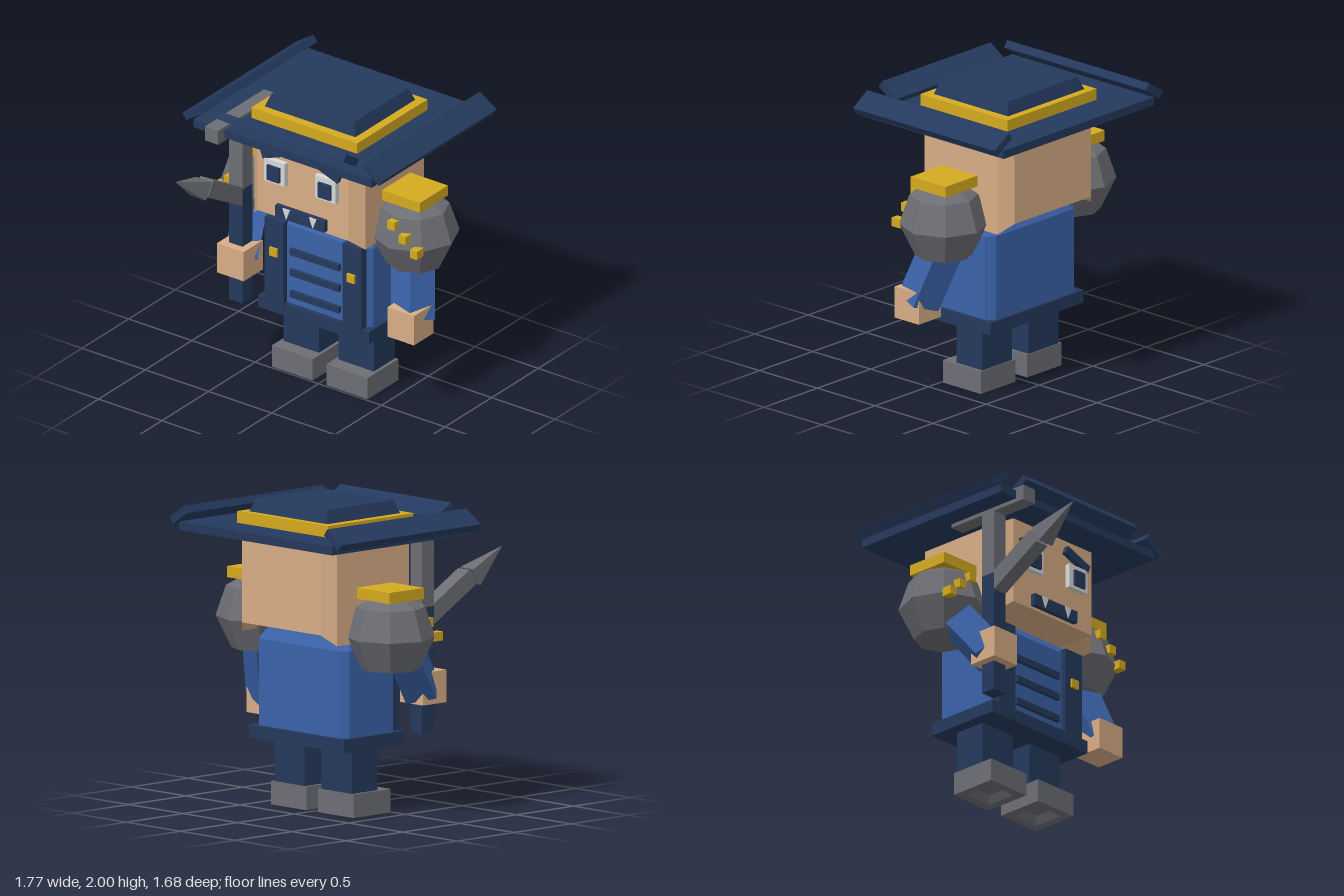
import * as THREE from 'three';

const mat = (name, color) => Object.assign(new THREE.MeshStandardMaterial({ color, flatShading: true }), { name });

// Surface through rings of points (counter-clockwise seen from the end), capped at both ends
function loft(rings) {
  const pos = [];
  const tri = (...pts) => pts.forEach(p => pos.push(...p));
  const n = rings[0].length;
  for (let k = 0; k < rings.length - 1; k++) {
    const r = rings[k], s = rings[k + 1];
    for (let i = 0; i < n; i++) {
      const j = (i + 1) % n;
      tri(r[i], r[j], s[j]);
      tri(r[i], s[j], s[i]);
    }
  }
  const first = rings[0], last = rings[rings.length - 1];
  for (let i = 1; i < n - 1; i++) {
    tri(first[0], first[i + 1], first[i]);
    tri(last[0], last[i], last[i + 1]);
  }
  const g = new THREE.BufferGeometry();
  g.setAttribute('position', new THREE.Float32BufferAttribute(pos, 3));
  g.computeVertexNormals();
  return g;
}

// Horizontal rectangle at height y, with corners cut by c
function ring(y, x0, x1, z0, z1, c = 0) {
  if (!c) return [[x0, y, z0], [x0, y, z1], [x1, y, z1], [x1, y, z0]];
  return [[x0, y, z0 + c], [x0, y, z1 - c], [x0 + c, y, z1], [x1 - c, y, z1],
    [x1, y, z1 - c], [x1, y, z0 + c], [x1 - c, y, z0], [x0 + c, y, z0]];
}

export function createModel() {
  const model = new THREE.Group();
  const navy = mat('navy cloth', 0x24395d);
  const blue = mat('blue cloth', 0x3a62a8);
  const skin = mat('skin', 0xd8ad85);
  const grey = mat('grey metal', 0x6d6e74);
  const gold = mat('gold', 0xd4aa20);
  const white = mat('off white', 0xd8d8d8);

  const add = (name, geometry, material) => {
    const m = new THREE.Mesh(geometry, material);
    m.name = name;
    model.add(m);
    return m;
  };
  const box = (name, material, x0, x1, y0, y1, z0, z1) => {
    const m = add(name, new THREE.BoxGeometry(x1 - x0, y1 - y0, z1 - z0), material);
    m.position.set((x0 + x1) / 2, (y0 + y1) / 2, (z0 + z1) / 2);
    return m;
  };
  // Lays a geometry's y axis along the line from a to b
  const along = (name, material, a, b, makeGeometry) => {
    const p = new THREE.Vector3(...a), q = new THREE.Vector3(...b);
    const m = add(name, makeGeometry(p.distanceTo(q)), material);
    m.position.copy(p).add(q).multiplyScalar(0.5);
    m.quaternion.setFromUnitVectors(new THREE.Vector3(0, 1, 0), q.sub(p).normalize());
    return m;
  };
  const bar = (w, d) => h => new THREE.BoxGeometry(w, h, d);

  // Torso and belt
  add('torso', loft([
    ring(0.46, -0.415, 0.415, -0.46, 0.02, 0.05),
    ring(1.085, -0.415, 0.415, -0.46, 0.02, 0.05),
    ring(1.145, -0.375, 0.375, -0.42, -0.02, 0.04),
  ]), blue);
  box('belt', navy, -0.437, 0.437, 0.44, 0.525, -0.48, 0.053);
  for (const y of [0.603, 0.757, 0.905]) box('coatStripe', navy, -0.197, 0.193, y - 0.022, y + 0.022, 0.01, 0.045);

  // Head, lofted from side to side so that the cheeks hang lower
  const slice = (x, y0, y1, z0, z1) => [[x, y0, z0], [x, y1, z0], [x, y1, z1], [x, y0, z1]];
  add('head', loft([
    slice(-0.437, 1.135, 1.75, -0.54, 0.09),
    slice(-0.36, 1.205, 1.785, -0.615, 0.165),
    slice(0.36, 1.205, 1.785, -0.615, 0.165),
    slice(0.437, 1.135, 1.75, -0.54, 0.09),
  ]), skin);
  box('mouth', navy, -0.197, 0.193, 1.225, 1.305, 0.15, 0.198);

  // Hat
  box('hatBrim', navy, -0.705, 0.705, 1.785, 1.84, -0.84, 0.385);
  box('hatBand', gold, -0.42, 0.416, 1.83, 1.915, -0.605, 0.148);
  add('hatCrown', loft([
    ring(1.9, -0.366, 0.361, -0.56, 0.092),
    ring(2.0, -0.33, 0.325, -0.525, 0.057),
  ]), navy);
  const frontFlap = add('hatFrontFlap', new THREE.BoxGeometry(1.02, 0.052, 0.16), navy);
  frontFlap.position.set(0, 1.902, 0.34);
  frontFlap.rotation.x = -0.58;

  // Mirrored parts
  for (const s of [-1, 1]) {
    const sideFlap = add('hatSideFlap', new THREE.BoxGeometry(0.16, 0.052, 1.225), navy);
    sideFlap.position.set(s * 0.71, 1.882, -0.2275);
    sideFlap.rotation.z = -s * 0.58;

    // Face
    const ex = s * 0.202;
    box('eyeWhite', white, ex - 0.082, ex + 0.082, 1.458, 1.62, 0.15, 0.2);
    box('pupil', navy, ex - 0.048, ex + 0.048, 1.478, 1.583, 0.18, 0.217);
    const brow = add('eyebrow', new THREE.BoxGeometry(0.22, 0.054, 0.05), navy);
    brow.position.set(s * 0.2, 1.673, 0.175);
    brow.rotation.z = -s * 0.36;
    const tooth = new THREE.Shape([[-0.028, 1.303], [0, 1.23], [0.028, 1.303]].map(p => new THREE.Vector2(...p)));
    add('tooth', new THREE.ExtrudeGeometry(tooth, { depth: 0.009, bevelEnabled: false }), white)
      .position.set(s * 0.105, 0, 0.197);

    // Coat lapel and button
    const lx = s * 0.307;
    box('lapel', navy, lx - 0.075, lx + 0.075, 0.46, 1.105, 0, 0.058);
    box('button', gold, lx - 0.03, lx + 0.03, 0.848, 0.907, 0.04, 0.073);

    // Leg, and boot with a hollow sole
    const bx = s * 0.217;
    box('leg', navy, bx - 0.14, bx + 0.14, 0.1, 0.46, -0.335, -0.11);
    const bootRing = (y, inset) => ring(y, bx - 0.162 + inset, bx + 0.162 - inset, -0.342 + inset, -0.014 - inset);
    add('boot', loft([bootRing(0.05, 0.09), bootRing(0, 0.06), bootRing(0, 0), bootRing(0.152, 0)]), grey);

    // Shoulder armour with plate and studs
    const profile = [[0, 0.975], [0.185, 0.975], [0.285, 1.18], [0.22, 1.375], [0.13, 1.425], [0, 1.425]];
    add('shoulderArmour', new THREE.LatheGeometry(profile.map(p => new THREE.Vector2(...p)), 8), grey)
      .position.set(s * 0.6, 0, -0.225);
    box('shoulderPlate', gold, s * 0.598 - 0.15, s * 0.598 + 0.15, 1.425, 1.497, -0.375, -0.075);
    for (const [x, y] of [[0.6, 1.335], [0.69, 1.26], [0.778, 1.182]]) {
      box('stud', gold, s * x - 0.028, s * x + 0.028, y - 0.03, y + 0.028, -0.035, 0.038);
    }
  }

  // Left arm hanging down, right arm reaching forward
  along('leftArm', blue, [0.57, 1.12, -0.24], [0.685, 0.64, -0.085], bar(0.2, 0.2));
  box('leftHand', skin, 0.57, 0.78, 0.53, 0.74, -0.175, 0.034);
  along('rightArm', blue, [-0.61, 1.1, -0.12], [-0.525, 0.79, 0.12], bar(0.2, 0.2));
  box('rightHand', skin, -0.62, -0.41, 0.71, 0.92, 0.04, 0.245);

  // Pole weapon: shaft, top beam, slanted arm and spike
  const wx = -0.513;
  box('weaponShaft', navy, wx - 0.053, wx + 0.053, 0.513, 1.33, 0.085, 0.19);
  box('weaponNeck', grey, wx - 0.053, wx + 0.053, 1.33, 1.8, 0.085, 0.19);
  box('weaponBeam', grey, wx - 0.053, wx + 0.053, 1.76, 1.86, -0.185, 0.45);
  along('weaponArm', grey, [wx, 1.255, 0.15], [wx, 1.477, 0.53], bar(0.105, 0.115));
  along('weaponSpike', grey, [wx, 1.475, 0.56], [wx, 1.64, 0.84],
    h => new THREE.ConeGeometry(0.088, h, 4).rotateY(Math.PI / 4));

  return model;
}
